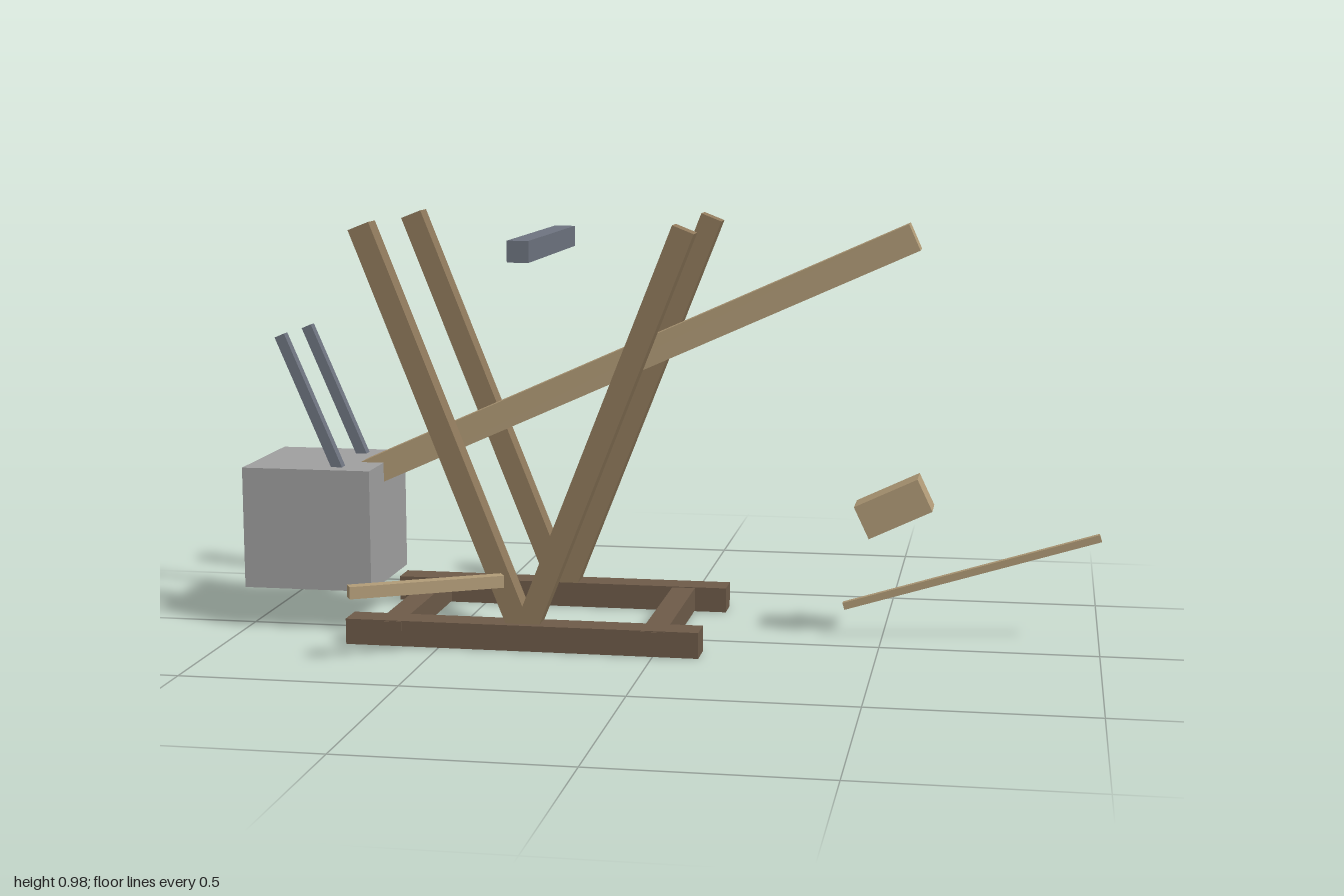
import * as THREE from 'three';

const mat = (name, color) => {
  const m = new THREE.MeshStandardMaterial({ color });
  m.name = name;
  return m;
};

export function createModel() {
  const model = new THREE.Group();
  model.name = 'siegeEngine';

  const darkWood = mat('darkWood', 0x6e5b49);
  const frameWood = mat('frameWood', 0x907a5c);
  const paleWood = mat('paleWood', 0xb29c78);
  const iron = mat('iron', 0x6e7480);
  const stone = mat('stone', 0xa0a0a0);

  // Box between minimum and maximum corners
  const block = (name, material, [x0, y0, z0], [x1, y1, z1]) => {
    const mesh = new THREE.Mesh(new THREE.BoxGeometry(x1 - x0, y1 - y0, z1 - z0), material);
    mesh.position.set((x0 + x1) / 2, (y0 + y1) / 2, (z0 + z1) / 2);
    mesh.name = name;
    model.add(mesh);
  };

  // Square-cut beam between two end centres; width is measured horizontally
  const beam = (name, material, from, to, thick, width) => {
    const a = new THREE.Vector3(...from), b = new THREE.Vector3(...to);
    const along = b.clone().sub(a);
    const mesh = new THREE.Mesh(new THREE.BoxGeometry(along.length(), thick, width), material);
    along.normalize();
    const side = along.clone().cross(new THREE.Vector3(0, 1, 0)).normalize();
    const up = side.clone().cross(along);
    mesh.quaternion.setFromRotationMatrix(new THREE.Matrix4().makeBasis(along, up, side));
    mesh.position.copy(a).add(b).multiplyScalar(0.5);
    mesh.name = name;
    model.add(mesh);
  };

  const midZ = -0.09;

  for (const s of [1, -1]) {
    // Base rails
    const rail = midZ + s * 0.225;
    block('baseRail', darkWood, [-0.72, 0, rail - 0.035], [0.105, 0.06, rail + 0.035]);
    // V-shaped uprights on each rail
    const post = midZ + s * 0.217;
    for (const t of [1, -1]) {
      beam('upright', frameWood, [-0.305, 0.03, post], [-0.305 + t * 0.371, 0.966, post], 0.052, 0.053);
    }
    // Hanger rods rising from the counterweight
    const rod = midZ + s * 0.099;
    beam('hangerRod', iron, [-0.774, 0.37, rod], [-0.914, 0.698, rod], 0.025, 0.025);
  }

  // Base cross bars
  for (const x of [-0.615, 0]) {
    block('crossBar', darkWood, [x - 0.028, 0.002, -0.352], [x + 0.028, 0.058, 0.172]);
  }

  block('axle', iron, [-0.33, 0.889, -0.342], [-0.28, 0.938, 0.163]);
  block('counterweight', stone, [-1, 0.1, -0.242], [-0.69, 0.388, 0.063]);
  beam('throwingArm', paleWood, [-0.736, 0.357, midZ], [0.563, 0.94, midZ], 0.065, 0.066);

  // Side lever, sling pouch and loose sling pole
  beam('lever', paleWood, [-0.659, 0.164, 0.338], [-0.347, 0.164, 0.168], 0.028, 0.028);
  beam('slingPouch', paleWood, [0.452, 0.281, midZ], [0.597, 0.35, midZ], 0.082, 0.09);
  beam('slingPole', paleWood, [0.41, 0.074, midZ], [0.997, 0.256, midZ], 0.017, 0.017);

  return model;
}
